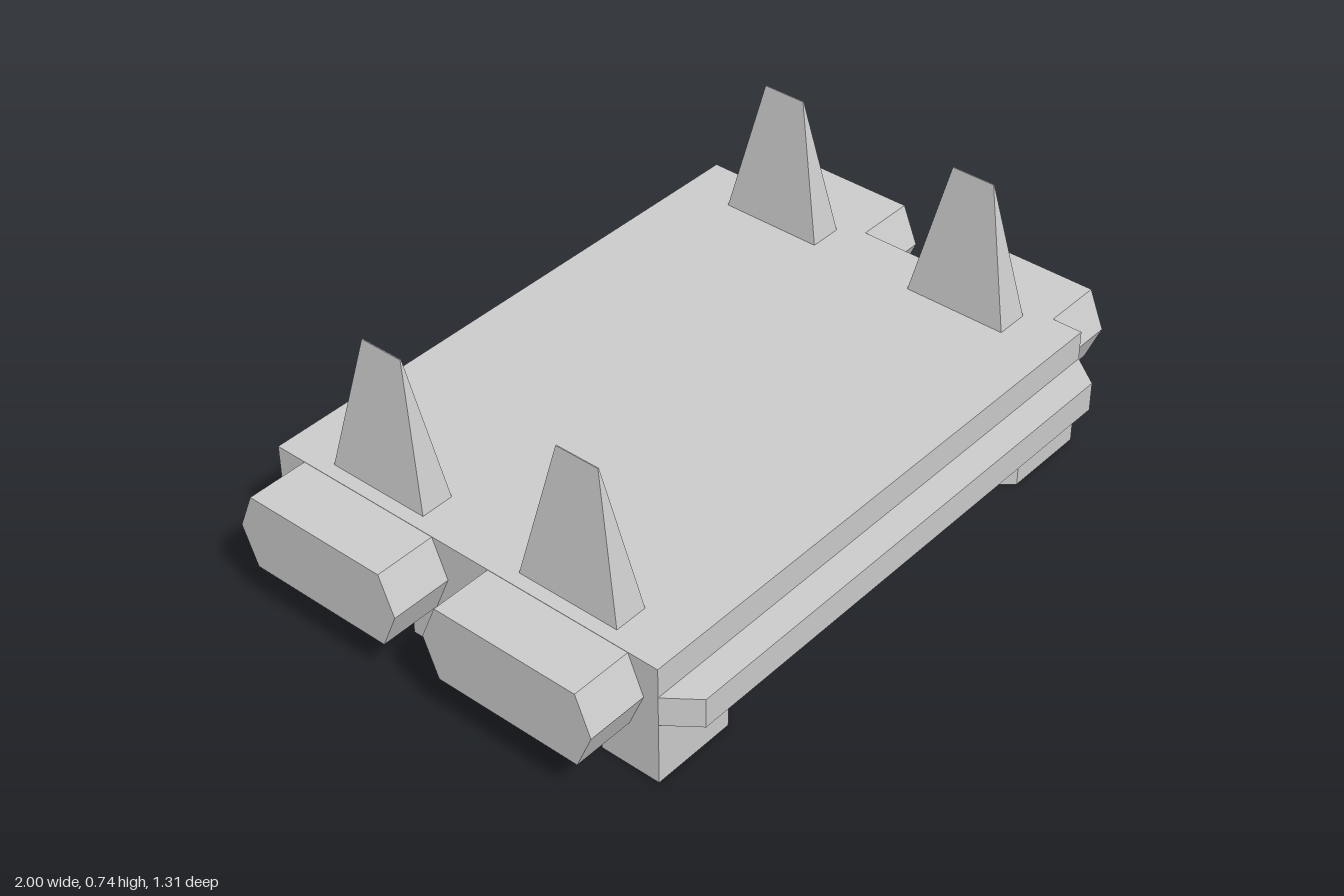
import * as THREE from 'three';

const material = new THREE.MeshStandardMaterial({ color: 0xcccccc, flatShading: true });

function addMesh(parent, name, geometry, x = 0, y = 0, z = 0) {
  const mesh = new THREE.Mesh(geometry, material);
  mesh.name = name;
  mesh.position.set(x, y, z);
  parent.add(mesh);
  return mesh;
}

const outline = (points) => new THREE.Shape(points.map(([a, b]) => new THREE.Vector2(a, b)));

const extrude = (points, depth) =>
  new THREE.ExtrudeGeometry(outline(points), { depth, bevelEnabled: false });

// Plan outline given as [x, z], standing between two heights
const planPrism = (points, y0, y1) =>
  extrude(points, y1 - y0).rotateX(Math.PI / 2).translate(0, y1, 0);

// Right half of a symmetric outline, completed by its mirror image
const mirrored = (half) => [...half, ...half.map(([x, z]) => [-x, z]).reverse()];

// Guide tooth: a box narrowed to a short ridge
function toothGeometry() {
  const geometry = new THREE.BoxGeometry(0.096, 0.39, 0.3).translate(0, 0.195, 0);
  const p = geometry.attributes.position;
  for (let i = 0; i < p.count; i++) {
    if (p.getY(i) > 0.1) {
      p.setX(i, p.getX(i) * 0.03);
      p.setZ(i, p.getZ(i) * 0.42);
    }
  }
  geometry.computeVertexNormals();
  return geometry;
}

function createLink() {
  const link = new THREE.Group();
  link.name = 'trackLink';

  // Main slab, spanning z = -0.305 to 0.305
  addMesh(link, 'linkBody', new THREE.BoxGeometry(1.65, 0.26, 0.61), 0, 0.22, 0);

  // Front tongue with bevelled corners
  addMesh(link, 'frontLip',
    planPrism(mirrored([[0.825, 0.305], [0.76, 0.39]]), 0.18, 0.265));

  // Ground grip: a flat bar with two slanting arms
  const grip = mirrored([
    [0.22, -0.105], [0.58, 0.305], [0.825, 0.305], [0.825, 0.13], [0.42, -0.305],
  ]);
  addMesh(link, 'groundGrip', planPrism(grip, 0, 0.09));

  // Six-sided end connectors and guide teeth on both ends
  const connector = [
    [-0.26, 0], [-0.215, -0.108], [0.215, -0.108], [0.26, 0], [0.215, 0.108], [-0.215, 0.108],
  ];
  for (const side of [1, -1]) {
    const name = side > 0 ? 'left' : 'right';
    const end = extrude(connector, 0.175).rotateY(Math.PI / 2).translate(-0.0875, 0, 0);
    addMesh(link, name + 'EndConnector', end, side * 0.9125, 0.241, 0.002);
    addMesh(link, name + 'GuideTooth', toothGeometry(), side * 0.738, 0.35, 0);
  }
  return link;
}

export function createModel() {
  const model = new THREE.Group();
  model.name = 'trackSegment';
  for (const z of [0.26, -0.35]) {
    const link = createLink();
    link.position.z = z;
    model.add(link);
  }
  return model;
}
